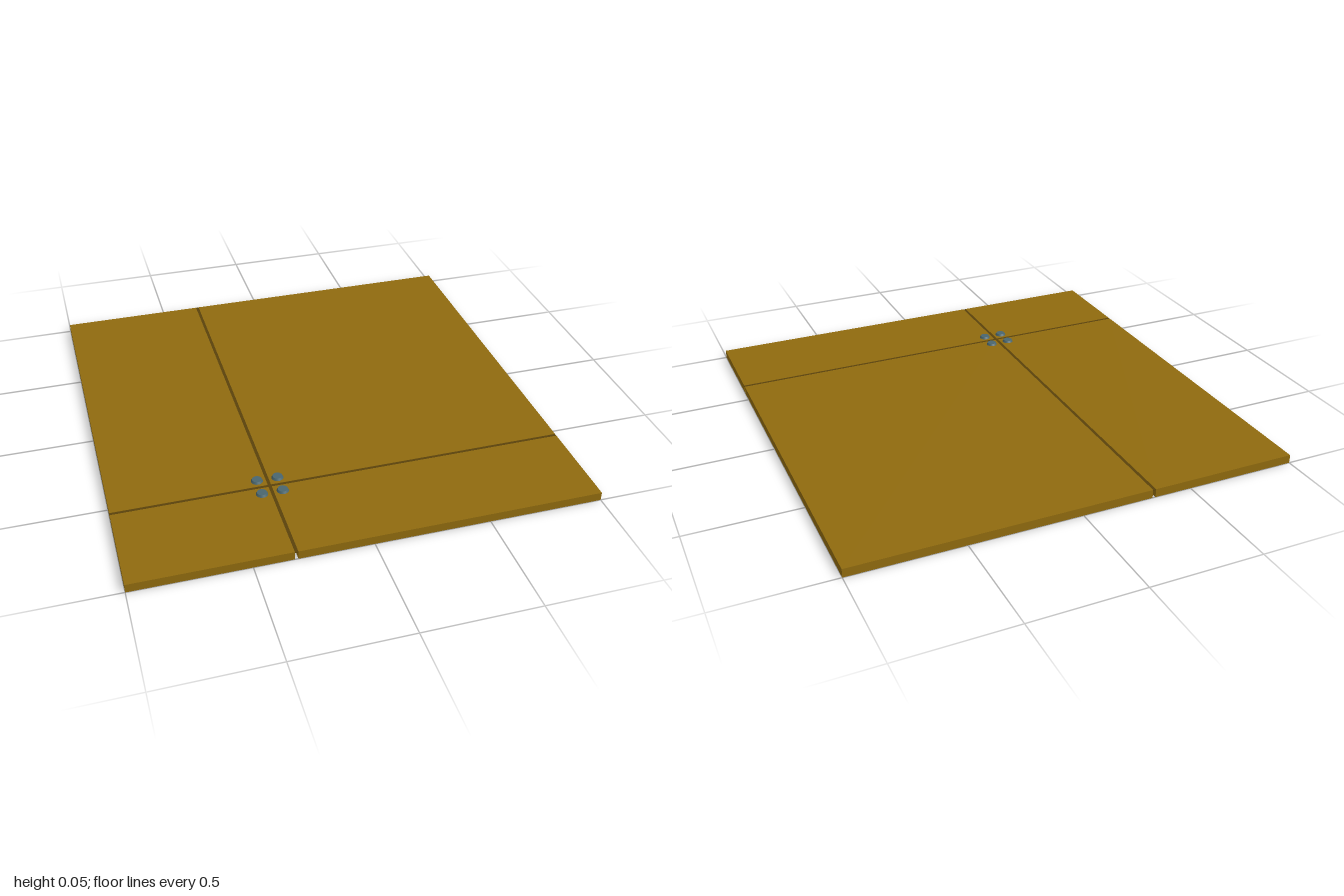
import * as THREE from 'three';

export function createModel() {
  const group = new THREE.Group();
  const wood = new THREE.MeshStandardMaterial({ color: 0x8f6a0e });
  const joint = new THREE.MeshStandardMaterial({ color: 0x5a420a });
  const metal = new THREE.MeshStandardMaterial({ color: 0x4a666e });

  const H = 0.038, GAP = 0.014, JX = -0.325, JZ = 0.573;

  const add = (name, geometry, material, x, y, z) => {
    const mesh = new THREE.Mesh(geometry, material);
    mesh.name = name;
    mesh.position.set(x, y, z);
    group.add(mesh);
  };

  // four panels around the crossing of the two joints
  const spans = (c) => [[-1, c - GAP / 2], [c + GAP / 2, 1]];
  for (const [x0, x1] of spans(JX)) {
    for (const [z0, z1] of spans(JZ)) {
      add('panel', new THREE.BoxGeometry(x1 - x0, H, z1 - z0), wood,
        (x0 + x1) / 2, H / 2, (z0 + z1) / 2);
    }
  }

  // thin strips closing the joints just under the top surface
  const T = 0.003, stripY = H - 0.001 - T / 2;
  add('lengthwiseJointStrip', new THREE.BoxGeometry(GAP, T, 2), joint, JX, stripY, 0);
  for (const [x0, x1] of spans(JX)) {
    add('crosswiseJointStrip', new THREE.BoxGeometry(x1 - x0, T, GAP), joint, (x0 + x1) / 2, stripY, JZ);
  }

  // low bevelled fixing discs, one on each panel corner
  const disc = new THREE.CylinderGeometry(0.021, 0.026, 0.01, 24);
  for (const sx of [-1, 1]) {
    for (const sz of [-1, 1]) {
      add('fixingDisc', disc, metal, JX + sx * 0.045, H + 0.005, JZ + sz * 0.045);
    }
  }
  return group;
}
